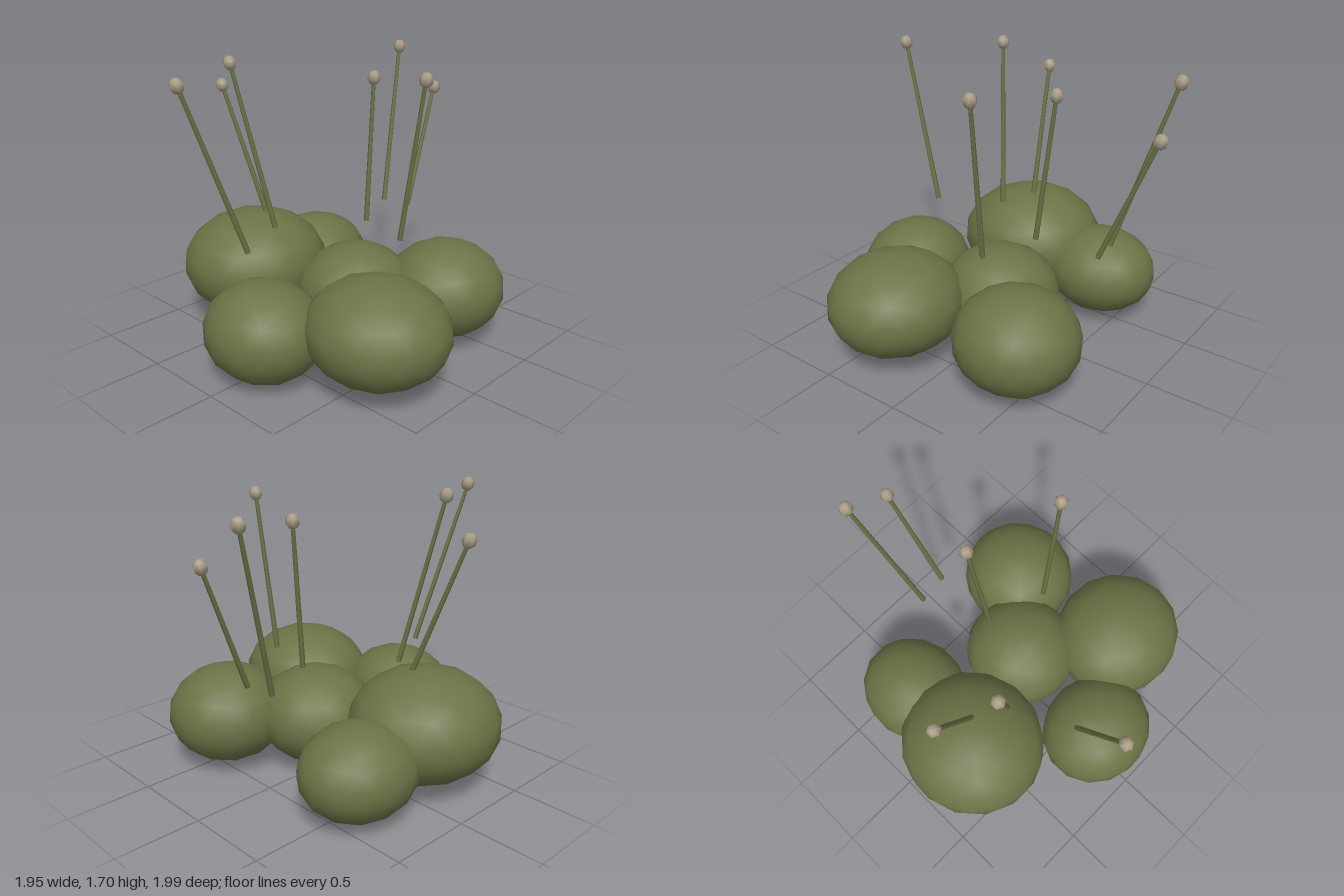
import * as THREE from 'three';

const mossGreen = new THREE.MeshStandardMaterial({ color: 0x6b7346 });
mossGreen.name = 'moss green';
const paleTan = new THREE.MeshStandardMaterial({ color: 0xa89b84 });
paleTan.name = 'pale tan';

// Cushions: name, centre, radii
const CUSHIONS = [
  ['cushionBackLarge', [-0.18, 0.39, -0.57], [0.455, 0.33, 0.435]],
  ['cushionBackSmall', [0.35, 0.288, -0.57], [0.355, 0.268, 0.315]],
  ['cushionSide', [-0.655, 0.285, 0.05], [0.328, 0.285, 0.355]],
  ['cushionCentre', [0.045, 0.313, 0.09], [0.36, 0.293, 0.355]],
  ['cushionFrontLeft', [0.43, 0.322, 0.46], [0.365, 0.296, 0.355]],
  ['cushionFrontRight', [-0.33, 0.355, 0.59], [0.393, 0.298, 0.413]],
];

// Stalks: base and tip points
const BASE_Y = 0.68;
const STALKS = [
  [[-0.61, BASE_Y, -0.12], [-0.93, 1.63, -0.23]],
  [[-0.235, BASE_Y, -0.315], [-0.375, 1.655, -0.505]],
  [[-0.13, BASE_Y, -0.5], [-0.215, 1.475, -0.79]],
  [[0.12, BASE_Y, 0.36], [0.152, 1.61, 0.485]],
  [[0.232, BASE_Y, 0.0], [0.325, 1.542, -0.037]],
  [[0.618, BASE_Y, -0.19], [0.9, 1.645, -0.325]],
  [[0.64, BASE_Y, -0.012], [0.935, 1.405, -0.058]],
];

export function createModel() {
  const model = new THREE.Group();
  model.name = 'mossClump';

  // Squashed round cushions, with a vertex at each pole
  const ball = new THREE.IcosahedronGeometry(1, 2);
  ball.rotateZ(-Math.atan(2 / (1 + Math.sqrt(5))));
  CUSHIONS.forEach(([name, centre, radii], i) => {
    const geometry = ball.clone().rotateY(i * 0.9).scale(...radii);
    const cushion = new THREE.Mesh(geometry, mossGreen);
    cushion.name = name;
    cushion.position.set(...centre);
    model.add(cushion);
  });

  // Thin stalks, each ending in a small capsule
  const up = new THREE.Vector3(0, 1, 0);
  const capsuleGeometry = new THREE.SphereGeometry(0.04, 6, 5).scale(1, 1.1, 1);
  STALKS.forEach(([from, to], i) => {
    const base = new THREE.Vector3(...from);
    const along = new THREE.Vector3(...to).sub(base);
    const length = along.length();

    const sporeStalk = new THREE.Group();
    sporeStalk.name = `sporeStalk${i + 1}`;
    sporeStalk.position.copy(base);
    sporeStalk.quaternion.setFromUnitVectors(up, along.normalize());

    const stalk = new THREE.Mesh(new THREE.CylinderGeometry(0.012, 0.017, length, 5), mossGreen);
    stalk.name = 'stalk';
    stalk.position.y = length / 2;

    const capsule = new THREE.Mesh(capsuleGeometry, paleTan);
    capsule.name = 'capsule';
    capsule.position.y = length;

    sporeStalk.add(stalk, capsule);
    model.add(sporeStalk);
  });

  return model;
}
